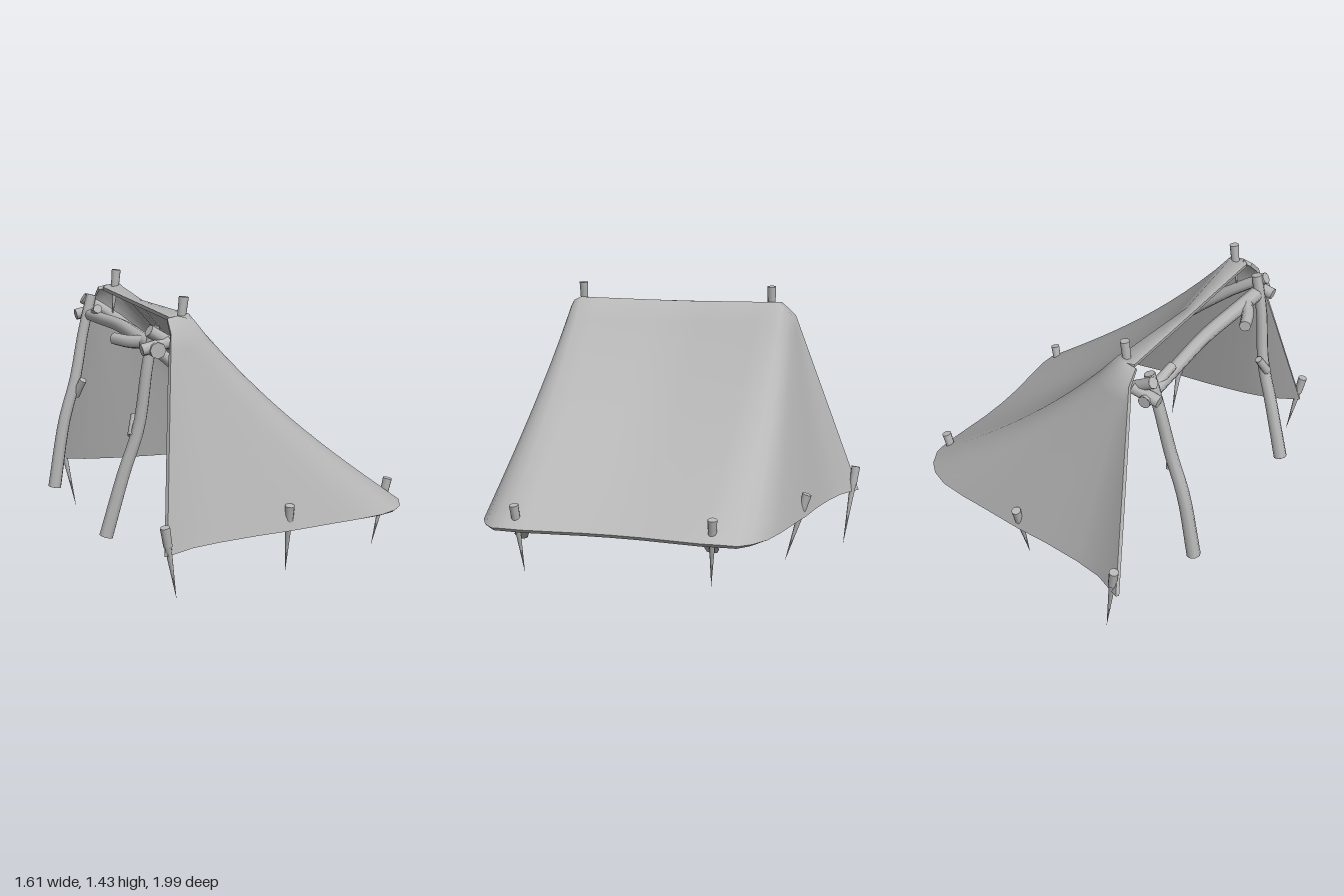
import * as THREE from 'three';
import { mergeGeometries } from 'three/addons/utils/BufferGeometryUtils.js';

const V = (x, y, z) => new THREE.Vector3(x, y, z);
const grey = new THREE.MeshStandardMaterial({ color: 0xb8b8b8, side: THREE.DoubleSide });
grey.name = 'plain grey';

// Tapered, capped branch swept along a few points
function limb(name, pts, r0, r1) {
  const curve = new THREE.CatmullRomCurve3(pts.map(p => V(...p)));
  const segs = pts.length > 2 ? 14 : 2, sides = 8;
  const tube = new THREE.TubeGeometry(curve, segs, 1, sides);
  const pos = tube.attributes.position, v = V(0, 0, 0);
  for (let i = 0; i <= segs; i++) {
    const c = curve.getPointAt(i / segs), r = r0 + (r1 - r0) * i / segs;
    for (let j = 0; j <= sides; j++) {
      const k = i * (sides + 1) + j;
      v.fromBufferAttribute(pos, k).sub(c).multiplyScalar(r).add(c);
      pos.setXYZ(k, v.x, v.y, v.z);
    }
  }
  const caps = [0, 1].map(t => {
    const dir = curve.getTangentAt(t).multiplyScalar(t ? 1 : -1);
    const cap = new THREE.CircleGeometry(t ? r1 : r0, sides);
    cap.applyQuaternion(new THREE.Quaternion().setFromUnitVectors(V(0, 0, 1), dir));
    const c = curve.getPointAt(t);
    return cap.translate(c.x, c.y, c.z);
  });
  const mesh = new THREE.Mesh(mergeGeometries([tube, ...caps]), grey);
  mesh.name = name;
  return mesh;
}

// Peg with a blunt head and a long thin spike
function peg(name, top, tip) {
  const a = V(...top), b = V(...tip), len = a.distanceTo(b);
  const g = new THREE.Group();
  g.name = name;
  const head = new THREE.Mesh(new THREE.CylinderGeometry(0.024, 0.021, 0.1, 10), grey);
  head.position.y = -0.05;
  head.name = 'pegHead';
  const spike = new THREE.Mesh(new THREE.ConeGeometry(0.017, len - 0.1, 8), grey);
  spike.rotation.x = Math.PI;
  spike.position.y = -0.1 - (len - 0.1) / 2;
  spike.name = 'pegSpike';
  g.add(head, spike);
  g.position.copy(a);
  g.quaternion.setFromUnitVectors(V(0, 1, 0), a.sub(b).normalize());
  return g;
}

// Half of the tarp columns: lip point, shoulder point, hem point, sag
function tarpColumns() {
  const hem = [[-0.63, 0.98], [-0.48, 0.905], [-0.33, 0.87], [-0.12, 0.84], [0.06, 0.825],
    [0.3, 0.79], [0.45, 0.77], [0.6, 0.74], [0.7, 0.69], [0.76, 0.63]];
  const half = hem.map(([x, z], i) => {
    const s = i / (hem.length - 1), e = Math.pow(s, 3);
    return {
      lip: V(-0.48 + 0.05 * s, 1.335 + 0.01 * s, 0.57),
      top: V(-0.485 + 0.115 * s, 1.27 + 0.06 * e, 0.64 - 0.05 * e),
      hem: V(x, 0.295, z), sag: 0.07 * s * s,
    };
  });
  [[0.795, 0.55], [0.8, 0.46], [0.785, 0.3], [0.77, 0.15], [0.765, 0]].forEach(([x, z], i) => {
    half.push({
      lip: V(-0.46, 1.335, z), top: V(-0.365 - 0.0125 * i, 1.35 - 0.003 * i, z),
      hem: V(x, 0.305, z), sag: 0.075 + 0.004 * i,
    });
  });
  const flip = p => V(p.x, p.y, -p.z);
  const other = half.slice(0, -1).reverse().map(c =>
    ({ lip: flip(c.lip), top: flip(c.top), hem: flip(c.hem), sag: c.sag }));
  return [...half, ...other];
}

// Tarp as a thin closed shell: outer skin, inner skin and a rim
function tarp() {
  const cols = tarpColumns(), rows = 15, thick = 0.02;
  const outer = [];
  for (const c of cols) {
    outer.push(c.lip);
    for (let r = 0; r < rows - 1; r++) {
      const t = r / (rows - 2), p = c.top.clone().lerp(c.hem, t);
      p.y -= c.sag * Math.sin(Math.PI * Math.pow(t, 0.8));
      outer.push(p);
    }
  }
  const id = (c, r) => c * rows + r;
  const faces = [];
  for (let c = 0; c < cols.length - 1; c++)
    for (let r = 0; r < rows - 1; r++)
      faces.push(id(c, r), id(c, r + 1), id(c + 1, r), id(c, r + 1), id(c + 1, r + 1), id(c + 1, r));
  const build = (pts, index) => {
    const g = new THREE.BufferGeometry().setFromPoints(pts);
    g.setIndex(index);
    g.computeVertexNormals();
    return g;
  };
  const skin = build(outer, faces);
  const n = V(0, 0, 0);
  const inner = outer.map((p, i) =>
    p.clone().addScaledVector(n.fromBufferAttribute(skin.attributes.normal, i), -thick));
  const lining = build(inner, faces.slice().reverse());

  // Rim around the four edges
  const loop = [], last = cols.length - 1;
  for (let r = 0; r < rows - 1; r++) loop.push(id(0, r));
  for (let c = 0; c < last; c++) loop.push(id(c, rows - 1));
  for (let r = rows - 1; r > 0; r--) loop.push(id(last, r));
  for (let c = last; c > 0; c--) loop.push(id(c, 0));
  const rimPts = [], rimFaces = [];
  loop.forEach((a, i) => {
    const b = loop[(i + 1) % loop.length], k = rimPts.length;
    rimPts.push(outer[a], inner[a], inner[b], outer[b]);
    rimFaces.push(k, k + 1, k + 2, k, k + 2, k + 3);
  });
  const group = new THREE.Group();
  group.name = 'tarp';
  [['tarpOuter', skin], ['tarpLining', lining], ['tarpRim', build(rimPts, rimFaces)]].forEach(([name, g]) => {
    const m = new THREE.Mesh(g, grey);
    m.name = name;
    group.add(m);
  });
  return group;
}

export function createModel() {
  const model = new THREE.Group();
  model.name = 'leanToShelter';
  model.add(tarp());

  // Wooden frame: ridge pole with stubs, legs and rafters
  model.add(
    limb('ridgePole', [[-0.54, 1.19, 0.61], [-0.53, 1.2, 0.3], [-0.525, 1.21, 0], [-0.535, 1.2, -0.3], [-0.55, 1.19, -0.61]], 0.04, 0.032),
    limb('ridgeStub', [[-0.53, 1.2, 0.42], [-0.59, 1.19, 0.33], [-0.635, 1.19, 0.22]], 0.034, 0.03),
    limb('ridgeStub', [[-0.53, 1.2, -0.48], [-0.55, 1.25, -0.35]], 0.028, 0.024),
    limb('leg', [[-0.53, 1.3, 0.53], [-0.57, 1.1, 0.53], [-0.61, 0.8, 0.51], [-0.68, 0.58, 0.49], [-0.77, 0.26, 0.47]], 0.028, 0.036),
    limb('leg', [[-0.53, 1.3, -0.53], [-0.585, 1.1, -0.52], [-0.64, 0.85, -0.5], [-0.71, 0.62, -0.49], [-0.775, 0.26, -0.48]], 0.028, 0.036),
  );
  for (const s of [1, -1]) {
    model.add(
      limb('legStub', [[-0.64, 0.76, s * 0.5], [-0.61, 0.85, s * 0.45]], 0.024, 0.02),
      limb('rafter', [[-0.57, 1.28, s * 0.56], [-0.4, 1.17, s * 0.54], [0, 0.83, s * 0.52], [0.4, 0.5, s * 0.5], [0.71, 0.26, s * 0.49]], 0.03, 0.036),
      limb('crossStub', [[-0.61, 1.19, s * 0.57], [-0.47, 1.22, s * 0.57]], 0.03, 0.03),
    );
  }

  // Pegs through the tarp's ridge and hem
  model.add(
    peg('ridgePeg', [-0.385, 1.43, 0.54], [-0.42, 1.15, 0.54]),
    peg('ridgePeg', [-0.39, 1.43, -0.525], [-0.42, 1.15, -0.52]),
    peg('frontPeg', [-0.64, 0.435, 0.975], [-0.575, 0.07, 0.945]),
    peg('frontPeg', [-0.61, 0.43, -0.965], [-0.535, 0, -0.915]),
    peg('sidePeg', [0.06, 0.42, 0.81], [0.07, 0.05, 0.735]),
    peg('sidePeg', [0.065, 0.41, -0.825], [0.07, 0.05, -0.715]),
    peg('backPeg', [0.745, 0.415, 0.515], [0.67, 0.05, 0.49]),
    peg('backPeg', [0.755, 0.415, -0.505], [0.675, 0.06, -0.48]),
  );
  return model;
}
